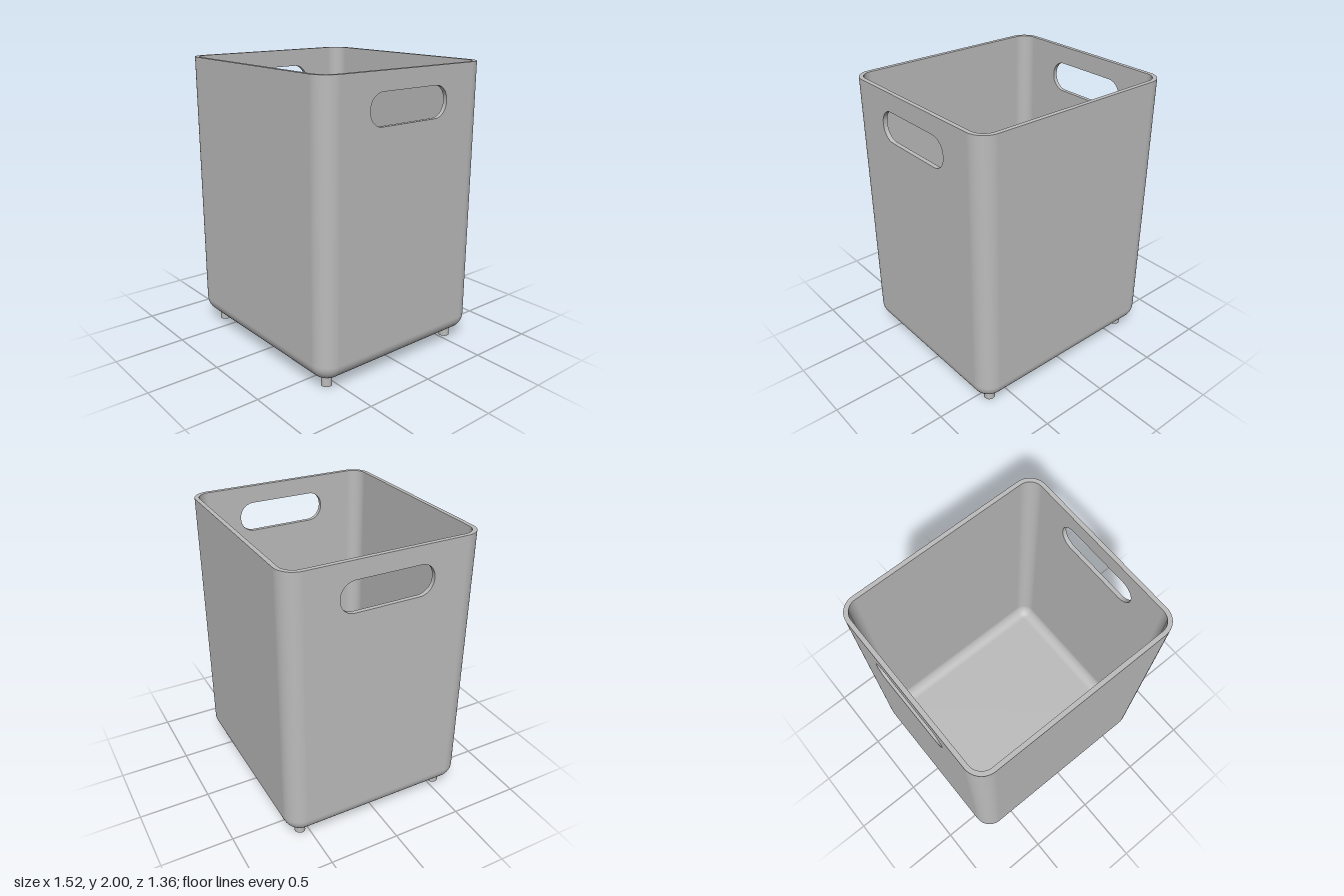
import * as THREE from 'three';
import { toCreasedNormals } from 'three/addons/utils/BufferGeometryUtils.js';

const HALF_X = 0.76, HALF_Z = 0.68, CORNER = 0.125, WALL = 0.03;
const BASE = 0.07, TOP = 2, FILLET = 0.115, WALL_START = BASE + FILLET;
const STEPS = 12;

// Closed skin swept around a rounded rectangle: floor, outer wall, rim, inner wall, inner floor.
// Columns in the flat +x and -x walls are left open for the handle panels.
function binGeometry() {
  const rows = [];
  const add = (inset, y, out, up, extra = {}) => rows.push({ inset, y, out, up, ...extra });
  add(0, BASE, 0, -1, { centre: true });
  for (let i = 0; i <= STEPS; i++) {
    const t = (i / STEPS) * Math.PI / 2;
    add(FILLET * (1 - Math.sin(t)), BASE + FILLET * (1 - Math.cos(t)), Math.sin(t), -Math.cos(t), { open: i === STEPS });
  }
  add(0, TOP, 1, 0, { end: true });
  add(0, TOP, 0, 1, { open: true });
  add(WALL, TOP, 0, 1, { end: true });
  add(WALL, TOP, -1, 0, { open: true });
  const r = FILLET - WALL;
  for (let i = 0; i <= STEPS; i++) {
    const t = (i / STEPS) * Math.PI / 2;
    add(WALL + r * (1 - Math.cos(t)), WALL_START - r * Math.sin(t), -Math.cos(t), Math.sin(t));
  }
  add(0, BASE + WALL, 0, 1, { centre: true });

  const position = [], normal = [], index = [];
  const columns = 4 * (STEPS + 1);
  for (const row of rows) {
    for (let k = 0; k < 4; k++) {
      const sx = k === 0 || k === 3 ? 1 : -1, sz = k < 2 ? 1 : -1;
      for (let j = 0; j <= STEPS; j++) {
        const a = (k + j / STEPS) * Math.PI / 2, radius = CORNER - row.inset;
        if (row.centre) position.push(0, row.y, 0);
        else position.push(
          sx * (HALF_X - CORNER) + radius * Math.cos(a), row.y,
          sz * (HALF_Z - CORNER) + radius * Math.sin(a));
        normal.push(row.out * Math.cos(a), row.up, row.out * Math.sin(a));
      }
    }
  }
  for (let i = 0; i < rows.length - 1; i++) {
    if (rows[i].end) continue;
    for (let j = 0; j < columns; j++) {
      const sideColumn = j === 2 * (STEPS + 1) - 1 || j === columns - 1;
      if (rows[i].open && sideColumn) continue;
      const next = (j + 1) % columns;
      const a = i * columns + next, b = i * columns + j, c = b + columns, d = a + columns;
      index.push(a, b, c, a, c, d);
    }
  }
  const geometry = new THREE.BufferGeometry();
  geometry.setAttribute('position', new THREE.Float32BufferAttribute(position, 3));
  geometry.setAttribute('normal', new THREE.Float32BufferAttribute(normal, 3));
  geometry.setIndex(index);
  return geometry;
}

// Flat side wall with a rounded handle slot
function handlePanelGeometry() {
  const w = HALF_Z - CORNER;
  const shape = new THREE.Shape([[-w, WALL_START], [w, WALL_START], [w, TOP], [-w, TOP]]
    .map(([x, y]) => new THREE.Vector2(x, y)));
  const x = 0.325, low = 1.665, high = 1.875, r = 0.1;
  const slot = new THREE.Path();
  slot.absarc(x - r, low + r, r, -Math.PI / 2, 0);
  slot.absarc(x - r, high - r, r, 0, Math.PI / 2);
  slot.absarc(-x + r, high - r, r, Math.PI / 2, Math.PI);
  slot.absarc(-x + r, low + r, r, Math.PI, Math.PI * 1.5);
  slot.closePath();
  shape.holes.push(slot);
  const geometry = new THREE.ExtrudeGeometry(shape, { depth: WALL, bevelEnabled: false, curveSegments: 12 });
  geometry.translate(0, 0, HALF_X - WALL);
  return toCreasedNormals(geometry, 0.6);
}

export function createModel() {
  const model = new THREE.Group();
  model.name = 'storageBin';
  const grey = new THREE.MeshStandardMaterial({ color: 0xbcbcbc });
  grey.name = 'grey';

  const add = (name, geometry) => {
    const mesh = new THREE.Mesh(geometry, grey);
    mesh.name = name;
    model.add(mesh);
    return mesh;
  };

  add('binBody', binGeometry());

  const panel = handlePanelGeometry();
  add('leftHandlePanel', panel).rotation.y = Math.PI / 2;
  add('rightHandlePanel', panel).rotation.y = -Math.PI / 2;

  // Feet, reaching slightly into the rounded base
  const foot = new THREE.CylinderGeometry(0.037, 0.037, 0.09, 24);
  for (const x of [1, -1]) {
    for (const z of [1, -1]) {
      add(`${z > 0 ? 'front' : 'back'}${x > 0 ? 'Left' : 'Right'}Foot`, foot)
        .position.set(x * 0.63, 0.045, z * 0.555);
    }
  }
  return model;
}
